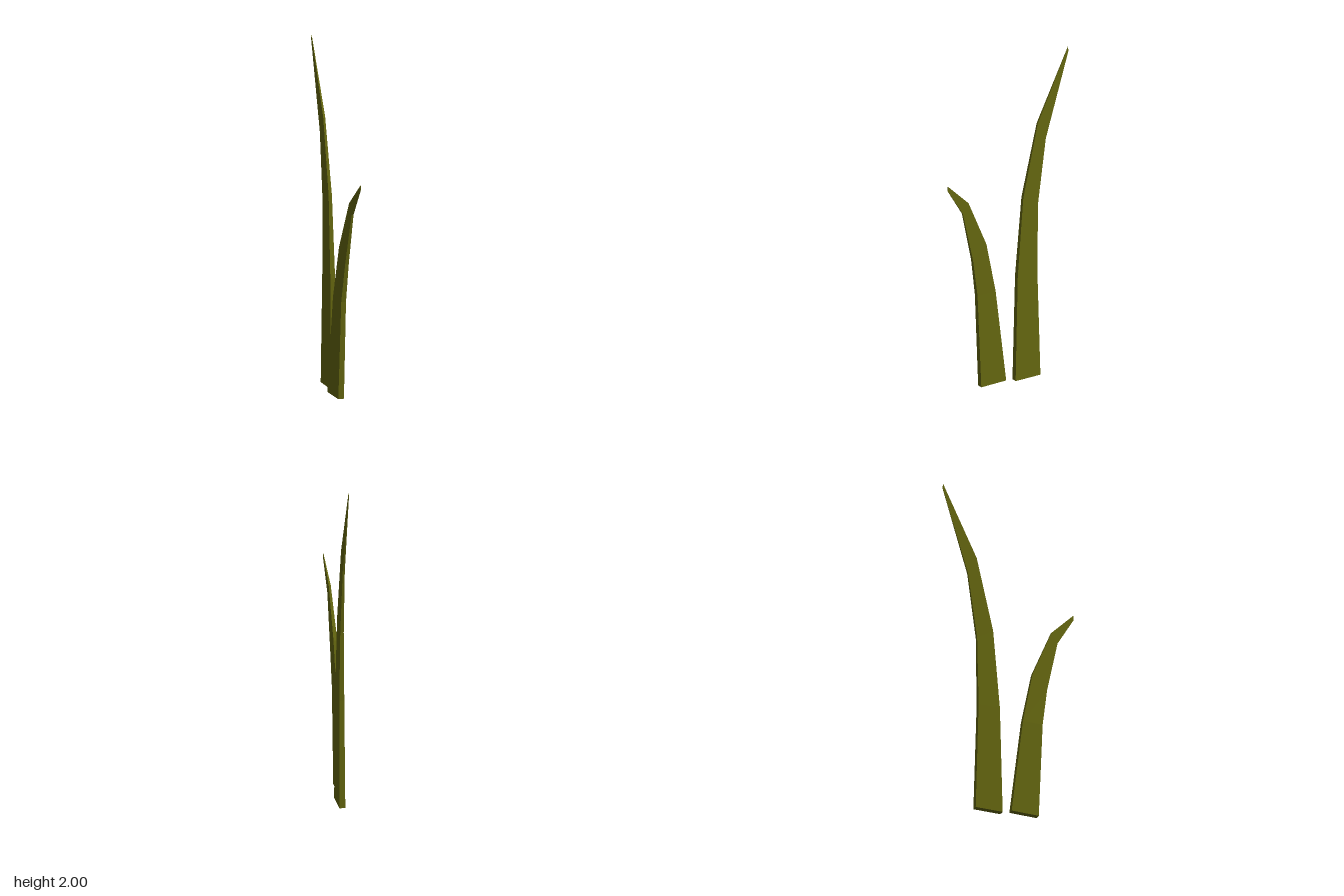
import * as THREE from 'three';

const leafGreen = new THREE.MeshStandardMaterial({ color: 0x666810 });
leafGreen.name = 'leafGreen';
leafGreen.flatShading = true;

// Loft a blade of four-sided sections.
// Section: [front y, front z, back y, back z, front centre x, back centre x, half thickness]
function makeBlade(name, sections) {
  const rings = sections.map(([fy, fz, by, bz, fx, bx, h]) => [
    [fx + h, fy, fz], [bx + h, by, bz], [bx - h, by, bz], [fx - h, fy, fz],
  ]);
  const positions = [];
  const quad = (a, b, c, d) => positions.push(...a, ...b, ...c, ...a, ...c, ...d);

  for (let i = 0; i < rings.length - 1; i++) {
    for (let j = 0; j < 4; j++) {
      const k = (j + 1) % 4;
      quad(rings[i][j], rings[i][k], rings[i + 1][k], rings[i + 1][j]);
    }
  }
  // Base and tip caps
  quad(...[...rings[0]].reverse());
  quad(...rings[rings.length - 1]);

  const geometry = new THREE.BufferGeometry();
  geometry.setAttribute('position', new THREE.Float32BufferAttribute(positions, 3));
  geometry.computeVertexNormals();
  const mesh = new THREE.Mesh(geometry, leafGreen);
  mesh.name = name;
  return mesh;
}

export function createModel() {
  const group = new THREE.Group();
  group.name = 'grassBlades';

  // Tall blade curving backward
  group.add(makeBlade('tallBlade', [
    [0, -0.04, 0, -0.207, 0.018, 0.018, 0.017],
    [0.65, -0.056, 0.65, -0.188, 0.018, 0.018, 0.0145],
    [1.13, -0.096, 1.07, -0.195, 0.018, 0.018, 0.01],
    [1.57, -0.196, 1.465, -0.25, 0.018, 0.018, 0.006],
    [2.0, -0.402, 1.975, -0.406, 0.018, 0.018, 0.001],
  ]));

  // Short blade curving forward, leaning slightly sideways
  group.add(makeBlade('shortBlade', [
    [0, 0.17, 0, 0, -0.015, -0.019, 0.017],
    [0.58, 0.197, 0.58, 0.073, -0.010, -0.014, 0.0145],
    [0.81, 0.23, 0.89, 0.138, -0.002, -0.005, 0.011],
    [1.12, 0.3, 1.18, 0.262, 0.006, 0.005, 0.006],
    [1.292, 0.406, 1.32, 0.404, 0.016, 0.016, 0.001],
  ]));

  return group;
}
